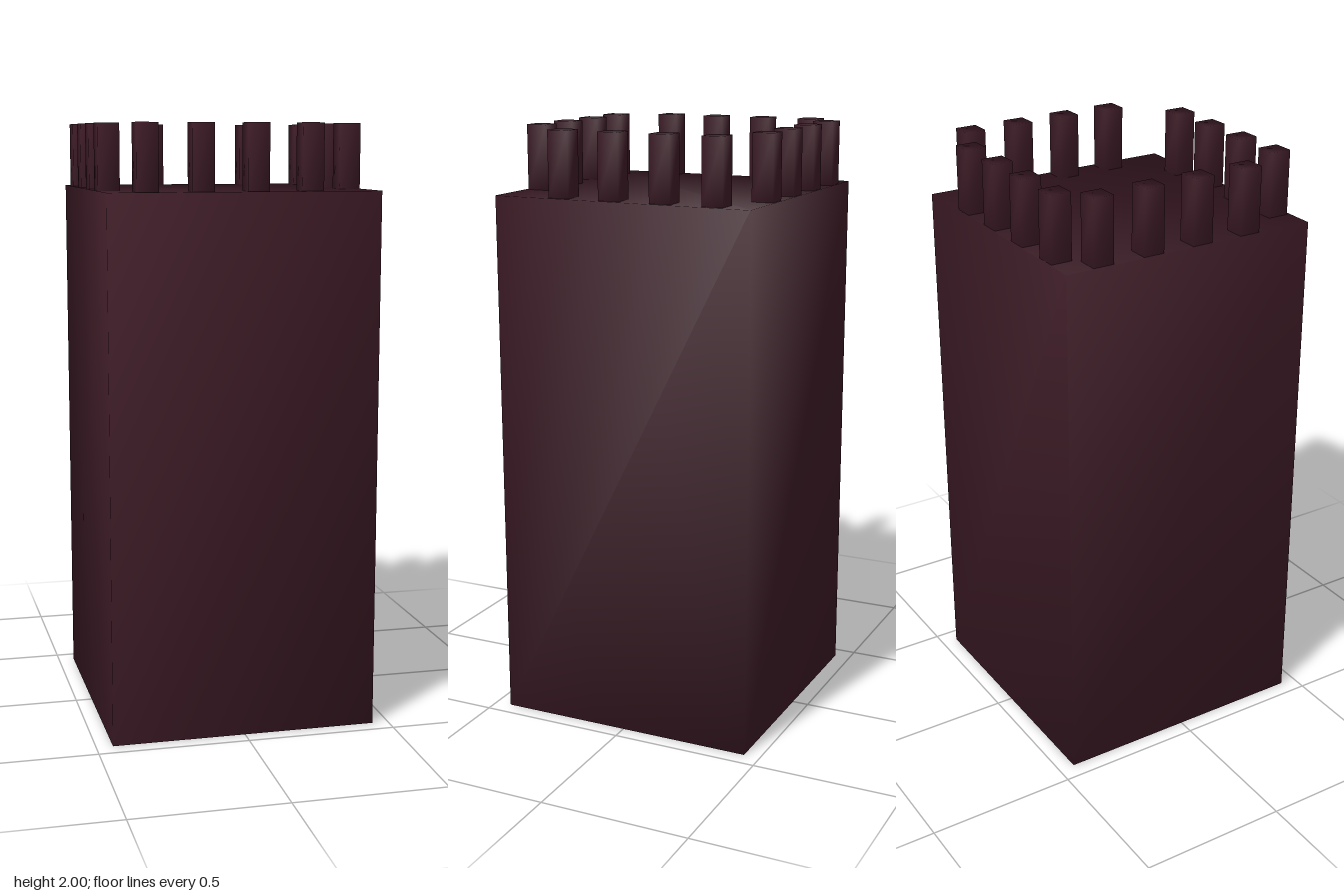
import * as THREE from 'three';
import { mergeVertices } from 'three/addons/utils/BufferGeometryUtils.js';

// Box whose faces share corner normals, so the shading rolls softly over the edges
function softBox(w, h, d) {
  const box = new THREE.BoxGeometry(w, h, d);
  box.deleteAttribute('normal');
  box.deleteAttribute('uv');
  const geometry = mergeVertices(box);
  geometry.computeVertexNormals();
  return geometry;
}

export function createModel() {
  const tower = new THREE.Group();
  tower.name = 'tower';
  const stone = new THREE.MeshStandardMaterial({ color: 0x3c1a25 });

  // Square tower block
  const wallHeight = 1.786, width = 0.89;
  const body = new THREE.Mesh(softBox(width, wallHeight, width), stone);
  body.name = 'towerBody';
  body.position.y = wallHeight / 2;
  tower.add(body);

  // Battlements: four merlons along each edge of the roof, set slightly off centre
  const merlonHeight = 2 - wallHeight;
  const merlonGeometry = softBox(0.071, merlonHeight, 0.071);
  const battlements = new THREE.Group();
  battlements.name = 'battlements';
  const addMerlon = (name, x, z) => {
    const merlon = new THREE.Mesh(merlonGeometry, stone);
    merlon.name = name;
    merlon.position.set(x, wallHeight + merlonHeight / 2, z);
    battlements.add(merlon);
  };
  const low = -0.405, high = 0.398;
  for (let i = 0; i < 4; i++) {
    const along = -0.314 + i * 0.1777;
    addMerlon('backMerlon', along, low);
    addMerlon('frontMerlon', along, high);
    addMerlon('rightMerlon', low, along);
    addMerlon('leftMerlon', high, along);
  }
  tower.add(battlements);
  return tower;
}
